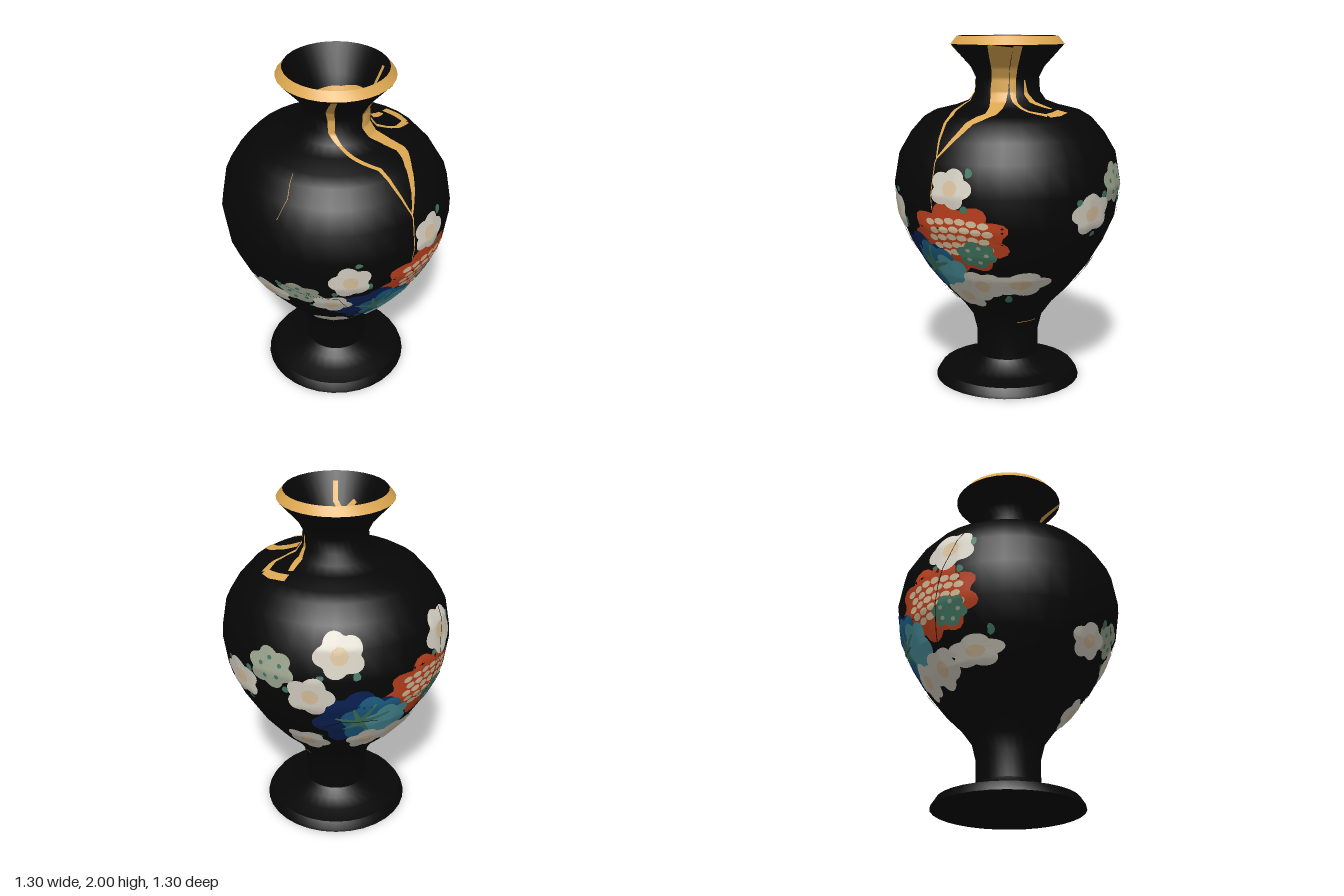
import * as THREE from 'three';
import { toCreasedNormals } from 'three/addons/utils/BufferGeometryUtils.js';

const mat = (name, color) => {
  const m = new THREE.MeshStandardMaterial({ color });
  m.name = name;
  return m;
};

const SIDES = 32, STEP = (Math.PI * 2) / SIDES, RAD = Math.PI / 180;

// [radius, height], up the outside, over the lip and down the inside
const PROFILE = [
  [0, 0], [0.425, 0], [0.42, 0.015], [0.395, 0.053], [0.3, 0.068], [0.22, 0.095], [0.18, 0.14],
  [0.18, 0.28], [0.205, 0.38], [0.27, 0.47], [0.36, 0.56], [0.47, 0.7], [0.56, 0.85],
  [0.625, 1], [0.65, 1.18], [0.62, 1.35], [0.555, 1.46], [0.48, 1.545], [0.42, 1.58],
  [0.3, 1.61], [0.22, 1.64], [0.185, 1.69], [0.18, 1.77], [0.21, 1.83], [0.322, 1.955],
  [0.286, 2],
  [0.2, 1.84], [0.155, 1.74], [0.135, 1.66], [0.12, 0.5], [0, 0.5],
].map(([r, y]) => new THREE.Vector2(r, y));
const RIM = 24, INNER = 25;
const ARC = [0];
for (let i = 1; i < PROFILE.length; i++) ARC.push(ARC[i - 1] + PROFILE[i].distanceTo(PROFILE[i - 1]));

// Arc length along the profile at a height, on the outside or the inside
function arcAt(y, inside = false) {
  const [from, to] = inside ? [INNER, PROFILE.length - 2] : [1, RIM + 1];
  for (let i = from; i < to; i++) {
    const t = (y - PROFILE[i].y) / (PROFILE[i + 1].y - PROFILE[i].y);
    if (t >= 0 && t <= 1) return ARC[i] + t * (ARC[i + 1] - ARC[i]);
  }
  return ARC[inside ? INNER : RIM];
}

function profileAt(v) {
  let i = 0;
  while (i < ARC.length - 2 && v > ARC[i + 1]) i++;
  const len = ARC[i + 1] - ARC[i], a = PROFILE[i], b = PROFILE[i + 1];
  return {
    p: a.clone().lerp(b, (v - ARC[i]) / len),
    n: new THREE.Vector2((b.y - a.y) / len, (a.x - b.x) / len),
  };
}

// Point on the faceted vase, lifted along its normal
function onVase(theta, v, lift) {
  const { p, n } = profileAt(v);
  const d = theta - (Math.floor(theta / STEP) + 0.5) * STEP;
  const r = (p.x * Math.cos(STEP / 2)) / Math.cos(d) + n.x * lift;
  return [Math.sin(theta) * r, p.y + n.y * lift, Math.cos(theta) * r];
}

// Sheet of rows x columns wrapped on the vase; place(i, j) gives [theta, arc length]
function sheet(rows, cols, lift, place) {
  const pos = [], idx = [];
  for (let i = 0; i <= rows; i++)
    for (let j = 0; j <= cols; j++) {
      pos.push(...onVase(...place(i, j), lift));
      if (i < rows && j < cols) {
        const a = i * (cols + 1) + j, b = a + cols + 1;
        idx.push(a, b, a + 1, b, b + 1, a + 1);
      }
    }
  const g = new THREE.BufferGeometry();
  g.setAttribute('position', new THREE.Float32BufferAttribute(pos, 3));
  g.setIndex(idx);
  g.computeVertexNormals();
  return g;
}

// Lobed painted disc centred at an angle and a height
function petals(deg, y, w, h, lobes, layer, turn = 0.3) {
  const R = profileAt(arcAt(y)).p.x;
  const rings = w > 0.06 ? 6 : 2, spokes = w > 0.06 ? 50 : 10;
  return sheet(rings, spokes, 0.0025 + layer * 0.0014, (i, j) => {
    const a = (j / spokes) * Math.PI * 2;
    const k = (i / rings) * (lobes ? 0.8 + 0.24 * Math.abs(Math.cos((lobes / 2) * (a + turn))) : 1);
    return [deg * RAD + (Math.cos(a) * w * k) / R, arcAt(y + Math.sin(a) * h * k)];
  });
}

// Ribbon through [degrees, height, width] points
function ribbon(path, layer = 0, inside = false) {
  const pts = path.map(([d, y, w]) => new THREE.Vector3(d * RAD, arcAt(y, inside), w));
  const rows = [], N = 12;
  for (let i = 0; i < pts.length - 1; i++)
    for (let k = i ? 1 : 0; k <= N; k++) rows.push(pts[i].clone().lerp(pts[i + 1], k / N));
  return sheet(rows.length - 1, 4, 0.0025 + layer * 0.0014, (i, j) => {
    const a = rows[Math.max(0, i - 2)], b = rows[Math.min(rows.length - 1, i + 2)], c = rows[i];
    const R = profileAt(c.y).p.x;
    const side = new THREE.Vector2(-(b.y - a.y), (b.x - a.x) * R).normalize();
    const s = (j / 4 - 0.5) * c.z;
    return [c.x + (side.x * s) / R, c.y + side.y * s];
  });
}

export function createModel() {
  const black = mat('black lacquer', 0x060606), gold = mat('gold', 0xdca751);
  const white = mat('petal white', 0xd8d3c6), cream = mat('flower centre cream', 0xdcc4a0);
  const orange = mat('orange red', 0xc4431f), navy = mat('navy', 0x0c2358);
  const blue = mat('mid blue', 0x1d668f), teal = mat('light teal', 0x529fab);
  const green = mat('leaf green', 0x457c66), pale = mat('pale green', 0xa0a892);

  const model = new THREE.Group();
  const add = (name, geometry, material) => {
    const m = new THREE.Mesh(geometry, material);
    m.name = name;
    model.add(m);
  };
  const lathe = (a, b) => toCreasedNormals(new THREE.LatheGeometry(PROFILE.slice(a, b + 1), SIDES), 0.7);

  // Vase
  add('foot', lathe(0, 6), black);
  add('body', lathe(6, RIM), black);
  add('rim', lathe(RIM, INNER), gold);
  add('interior', lathe(INNER, PROFILE.length - 1), black);

  // Gold repair seams outside
  [
    [[-21, 1.95, 0.03], [-28, 1.83, 0.045], [-27, 1.7, 0.035], [-14, 1.64, 0.02], [0, 1.605, 0.025], [13, 1.58, 0.025], [21, 1.37, 0.008]],
    [[52, 1.95, 0.14], [48, 1.83, 0.1], [44, 1.7, 0.1], [46, 1.62, 0.08], [45, 1.59, 0.065], [34, 1.55, 0.045], [21, 1.37, 0.01]],
    [[69, 1.95, 0.05], [68, 1.8, 0.04], [68, 1.67, 0.03], [73, 1.62, 0.02], [78, 1.6, 0.025], [90, 1.582, 0.045]],
    [[90, 1.582, 0.045], [100, 1.585, 0.06], [113, 1.592, 0.06]],
    [[90, 1.76, 0.006], [92, 1.68, 0.03], [100, 1.63, 0.045], [108, 1.605, 0.03]],
    [[21, 1.37, 0.008], [20.5, 1.24, 0.006], [20, 1.1, 0.005]],
    [[-50, 1.57, 0.003], [-47, 1.48, 0.003], [-50, 1.38, 0.003]],
    [[75, 0.375, 0.004], [110, 0.375, 0.004]],
  ].forEach((p) => add('gold seam', ribbon(p), gold));
  // Gold repair seams inside the neck
  [
    [[-22, 1.95, 0.03], [-22, 1.85, 0.03], [-35, 1.78, 0.03], [-54, 1.86, 0.03]],
    [[-32, 1.72, 0.05], [-50, 1.77, 0.06], [-62, 1.78, 0.02]],
    [[86, 1.96, 0.03], [80, 1.84, 0.03]],
    [[87, 1.77, 0.09], [120, 1.77, 0.08], [150, 1.76, 0.06], [165, 1.77, 0.04], [190, 1.76, 0.05], [250, 1.75, 0.03]],
  ].forEach((p) => add('inner gold seam', ribbon(p, 0, true), gold));

  // Large orange flower with stippled petals and a green heart
  for (const [deg, y] of [[32, 0.945], [208, 1.03]]) {
    add('orange flower', petals(deg, y, 0.295, 0.2, 9, 0), orange);
    for (let row = 0; row < 5; row++)
      for (let col = 0; col < 6; col++) {
        const d = deg - 14 + col * 5.8 + (row % 2) * 2;
        const dy = 0.11 - row * 0.045 - Math.abs(col - 2.5) * 0.008;
        add('stippled petal', petals(d, y + dy, 0.031, 0.019, 0, 1), cream);
      }
    add('green heart', petals(deg + 10, y - 0.08, 0.11, 0.08, 6, 2), green);
    for (let k = 0; k < 5; k++) {
      const a = k * 1.257;
      add('heart fleck', petals(deg + 10 + Math.cos(a) * 5.5, y - 0.08 + Math.sin(a) * 0.045, 0.014, 0.011, 0, 3), pale);
    }
  }

  // Blue flower shading to teal, with green veins
  for (const [deg, y, s] of [[3, 0.765, 1], [168, 0.9, 1.14]]) {
    add('navy petals', petals(deg, y, 0.205 * s, 0.185 * s, 7, 1), navy);
    add('blue petals', petals(deg + 9, y - 0.02, 0.15 * s, 0.165 * s, 6, 2), blue);
    add('teal petals', petals(deg + 18, y - 0.05, 0.12 * s, 0.125 * s, 6, 3), teal);
    for (const [dx, dy] of [[-13, 0.03], [-4, 0.1], [7, 0.12], [16, 0.03], [6, -0.1], [-9, -0.07]])
      add('flower vein', ribbon([[deg + 2, y - 0.02, 0.04], [deg + 2 + dx, y + dy, 0.012]], 4), green);
  }

  // Pale green blossoms
  for (const [deg, y, w, h] of [[-39, 0.92, 0.13, 0.09], [125, 1.21, 0.14, 0.115]]) {
    add('pale blossom', petals(deg, y, w, h, 6, 1), pale);
    for (let k = 0; k < 5; k++) {
      const a = k * 1.257 + 0.4;
      add('blossom fleck', petals(deg + Math.cos(a) * 5.5, y + Math.sin(a) * h * 0.5, 0.013, 0.013, 0, 2), green);
    }
  }

  // White blossoms: angle, height, half width, half height
  [
    [31, 1.225, 0.12, 0.105], [-12.6, 1.05, 0.115, 0.115], [-22, 0.84, 0.11, 0.09], [-59, 0.85, 0.13, 0.09],
    [-24, 0.545, 0.11, 0.08], [23.5, 0.58, 0.125, 0.085], [41, 0.66, 0.12, 0.1], [68, 0.675, 0.17, 0.08],
    [159, 1.32, 0.135, 0.12], [145, 1.08, 0.13, 0.12], [104, 1.07, 0.145, 0.11], [138, 0.68, 0.12, 0.1],
    [178, 0.69, 0.11, 0.1], [201, 0.7, 0.12, 0.1], [229, 0.74, 0.16, 0.075], [220, 1.3, 0.145, 0.125],
  ].forEach(([deg, y, w, h], i) => {
    add('white blossom', petals(deg, y, w, h, 5, 4, i * 0.7), white);
    add('blossom centre', petals(deg, y, w * 0.36, h * 0.4, 0, 5), cream);
  });

  // Small leaves beside the blossoms
  [
    [40, 1.31], [38, 1.12], [-9, 1.17], [-3, 1.0], [-20, 0.95], [-33, 0.8], [-50, 0.97], [-4, 0.53], [-2, 0.6],
    [60, 0.57], [95, 1.14], [108, 0.95], [112, 1.16], [133, 1.1], [150, 1.2], [167, 1.21], [128, 0.73],
    [147, 0.75], [232, 1.33], [226, 1.16], [212, 1.21], [240, 0.83],
  ].forEach(([deg, y], i) => add('leaf', petals(deg, y, 0.022, 0.028 - (i % 3) * 0.006, 3, 2, i), green));

  // Hairline cracks
  [
    [[-45, 0.98, 0.003], [-38, 0.93, 0.003], [-18, 0.9, 0.003], [-12, 0.78, 0.003]],
    [[205, 0.8, 0.005], [214, 1.1, 0.005], [226, 1.42, 0.005]],
    [[150, 0.85, 0.004], [160, 0.9, 0.004], [180, 0.88, 0.004]],
  ].forEach((p) => add('hairline crack', ribbon(p, 5), black));

  return model;
}
